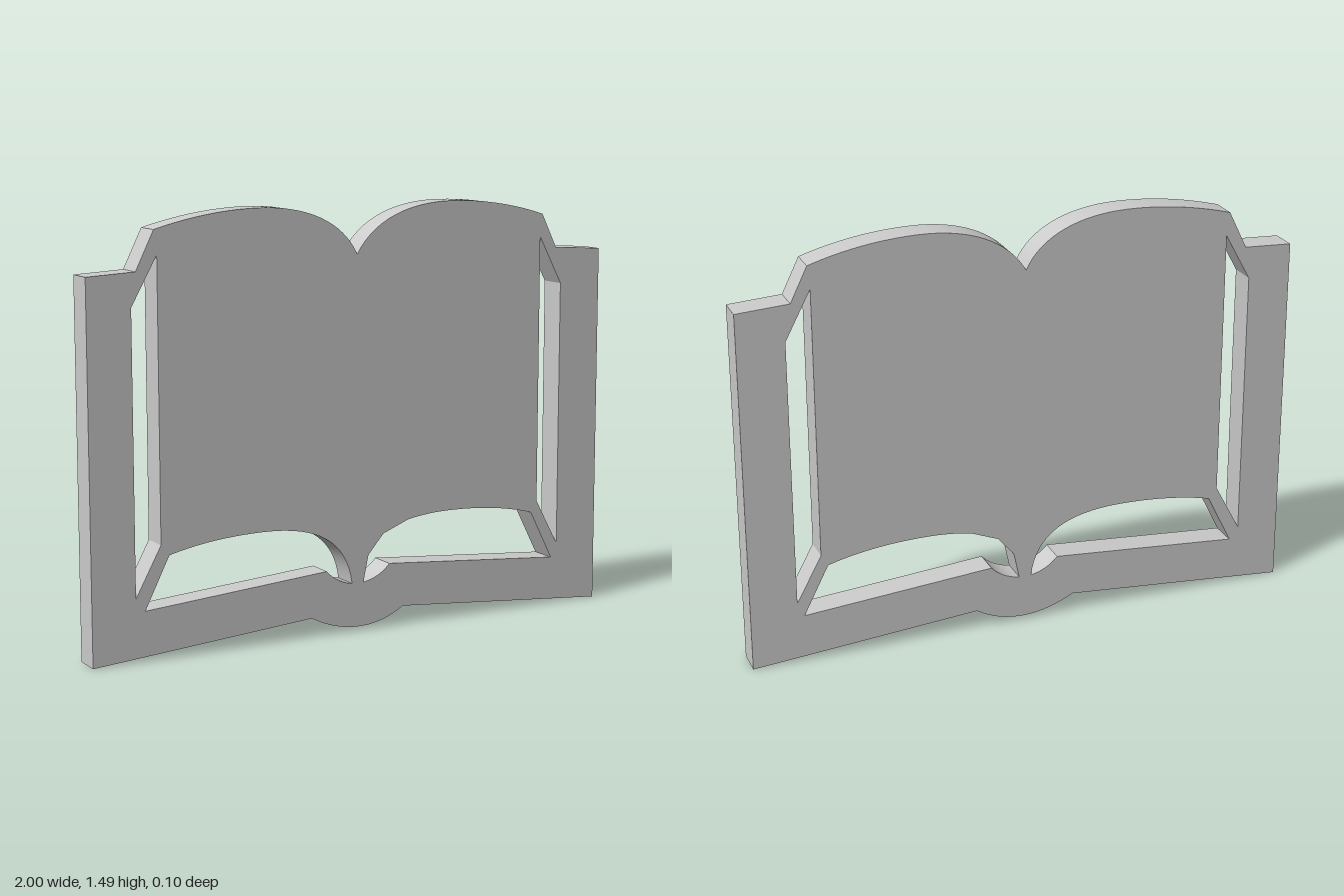
import * as THREE from 'three';
import { toCreasedNormals } from 'three/addons/utils/BufferGeometryUtils.js';

const DEPTH = 0.1;

// Draws a closed path: 2 numbers = line, 4 = quadratic curve, 6 = cubic curve
function trace(path, start, steps) {
  path.moveTo(...start);
  for (const s of steps) {
    if (s.length === 2) path.lineTo(...s);
    else if (s.length === 4) path.quadraticCurveTo(...s);
    else path.bezierCurveTo(...s);
  }
  path.closePath();
  return path;
}

export function createModel() {
  const group = new THREE.Group();
  group.name = 'openBook';

  // Outer silhouette: cover with spine bulge below, two arched pages above
  const outline = trace(new THREE.Shape(), [-1, 0.003], [
    [-0.185, 0.07],
    [-0.09, 0.018, 0.005, 0.018],
    [0.1, 0.018, 0.18, 0.07],
    [1, 0.003],
    [1, 1.303],
    [0.812, 1.314],
    [0.752, 1.436],
    [0.63, 1.475, 0.5, 1.495, 0.37, 1.495],
    [0.2, 1.495, 0.06, 1.44, -0.005, 1.325],
    [-0.06, 1.44, -0.2, 1.495, -0.37, 1.495],
    [-0.5, 1.495, -0.63, 1.475, -0.76, 1.438],
    [-0.826, 1.304],
    [-1, 1.295],
  ]);

  // Gaps between the pages and the cover sides
  outline.holes.push(
    trace(new THREE.Path(), [-0.843, 1.188], [[-0.75, 1.355], [-0.75, 0.392], [-0.843, 0.22]]),
    trace(new THREE.Path(), [0.744, 1.355], [[0.834, 1.184], [0.834, 0.226], [0.744, 0.392]]),
  );

  // Gaps between the pages and the cover bottom; the right page edge is faceted near the spine
  outline.holes.push(
    trace(new THREE.Path(), [-0.81, 0.175], [
      [-0.125, 0.23],
      [-0.085, 0.185, -0.025, 0.175],
      [-0.045, 0.33, -0.16, 0.396, -0.37, 0.396],
      [-0.49, 0.396, -0.61, 0.384, -0.72, 0.355],
    ]),
    trace(new THREE.Path(), [0.81, 0.175], [
      [0.125, 0.23],
      [0.085, 0.185, 0.02, 0.175],
      [0.04, 0.27],
      [0.1, 0.34],
      [0.2, 0.38],
      [0.28, 0.396, 0.37, 0.396],
      [0.49, 0.396, 0.61, 0.384, 0.72, 0.352],
    ]),
  );

  const geometry = new THREE.ExtrudeGeometry(outline, {
    depth: DEPTH, bevelEnabled: false, curveSegments: 16,
  });
  geometry.translate(0, -0.003, -DEPTH / 2);

  const book = new THREE.Mesh(
    toCreasedNormals(geometry, 0.35),
    new THREE.MeshStandardMaterial({ color: 0xcccccc }),
  );
  book.name = 'bookPlate';
  group.add(book);
  return group;
}
